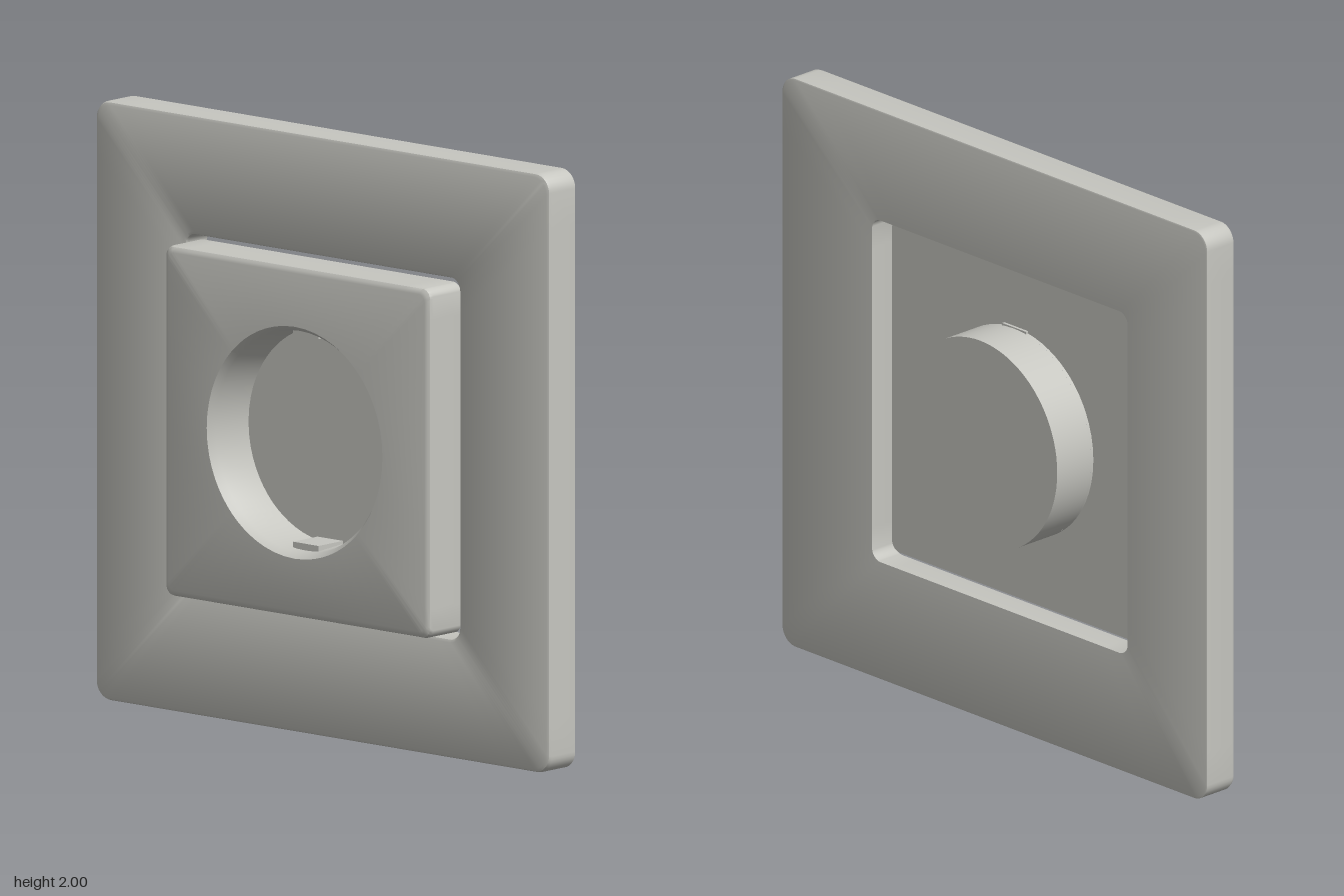
import * as THREE from 'three';
import { toCreasedNormals } from 'three/addons/utils/BufferGeometryUtils.js';

// Counter-clockwise outline of a rounded square: corner arcs plus sampled straight edges
function squareRing(half, radius, z) {
  const pts = [], arc = 8, edge = 16, c = half - radius;
  for (let k = 0; k < 4; k++) {
    const turn = k * Math.PI / 2, axis = new THREE.Vector3(0, 0, 1);
    const add = (x, y) => pts.push(new THREE.Vector3(x, y, z).applyAxisAngle(axis, turn));
    for (let i = 0; i <= arc; i++) {
      const a = i / arc * Math.PI / 2;
      add(c + radius * Math.cos(a), c + radius * Math.sin(a));
    }
    for (let i = 1; i < edge; i++) add(c - 2 * c * i / edge, half);
  }
  return pts;
}

// Circle whose points line up with those of the rounded square
function circleRing(r, z) {
  return squareRing(0.585, 0.035, 0).map(p => p.setLength(r).setZ(z));
}

// Skin a series of rings
function loft(rings) {
  const pos = [];
  const n = rings[0].length;
  for (let j = 0; j < rings.length - 1; j++) {
    const a = rings[j], b = rings[j + 1];
    for (let i = 0; i < n; i++) {
      const k = (i + 1) % n;
      for (const p of [a[i], a[k], b[k], a[i], b[k], b[i]]) pos.push(p.x, p.y, p.z);
    }
  }
  const g = new THREE.BufferGeometry();
  g.setAttribute('position', new THREE.Float32BufferAttribute(pos, 3));
  return toCreasedNormals(g, 0.6);
}

export function createModel() {
  const group = new THREE.Group();
  const plastic = new THREE.MeshStandardMaterial({ color: 0xc6c6c0 });
  plastic.name = 'warm grey plastic';
  const add = (name, geometry, x = 0, y = 1, z = 0) => {
    const m = new THREE.Mesh(geometry, plastic);
    m.name = name;
    m.position.set(x, y, z);
    group.add(m);
    return m;
  };

  // Outer frame: dished back, softened front edge, square opening
  add('frame', loft([
    squareRing(0.602, 0.04, -0.075),
    squareRing(0.995, 0.06, -0.1),
    squareRing(1, 0.06, -0.098),
    squareRing(1, 0.06, 0.016),
    squareRing(0.996, 0.058, 0.026),
    squareRing(0.987, 0.055, 0.03),
    squareRing(0.614, 0.05, 0.03),
    squareRing(0.605, 0.043, 0.026),
    squareRing(0.602, 0.04, 0.018),
    squareRing(0.602, 0.04, -0.075),
  ]));

  // Central cover: slightly domed face with a round well
  add('cover', loft([
    circleRing(0.363, -0.012),
    circleRing(0.363, 0),
    squareRing(0.585, 0.035, 0),
    squareRing(0.585, 0.035, 0.135),
    squareRing(0.581, 0.033, 0.147),
    squareRing(0.573, 0.03, 0.153),
    squareRing(0.563, 0.025, 0.156),
    circleRing(0.387, 0.165),
    circleRing(0.37, 0.14),
    circleRing(0.36, -0.01),
    circleRing(0, -0.01),
  ]));

  // Round housing behind the cover
  const housing = new THREE.CylinderGeometry(0.363, 0.363, 0.153, 80);
  housing.rotateX(Math.PI / 2);
  add('rearHousing', housing, 0, 1, -0.0885);

  // Contact clips at the top and bottom of the well
  for (const s of [1, -1]) {
    add(s > 0 ? 'topClip' : 'bottomClip', new THREE.BoxGeometry(0.112, 0.022, 0.12), 0, 1 + s * 0.356, 0.05);
  }
  return group;
}
